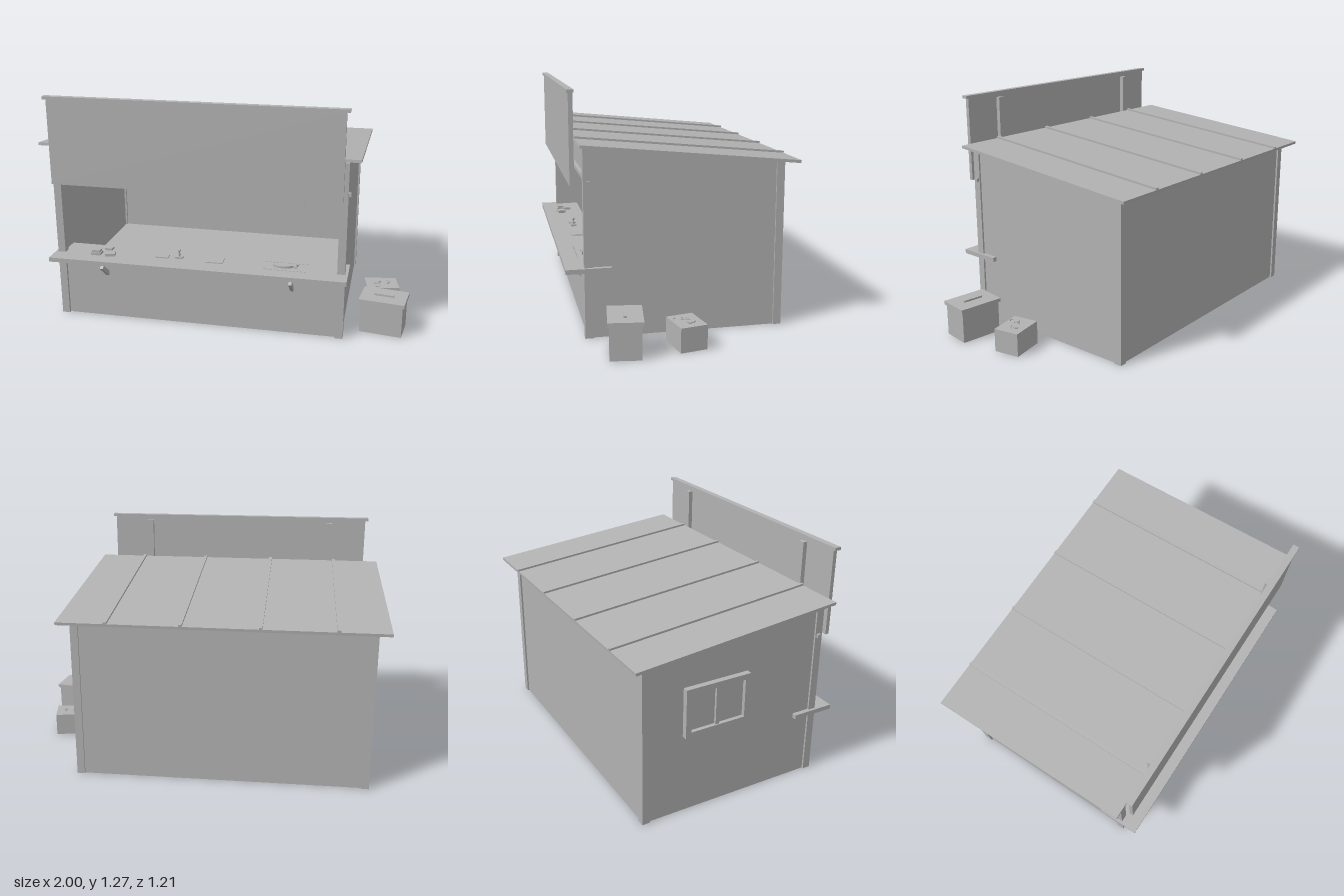
import * as THREE from 'three';

const grey = new THREE.MeshStandardMaterial({ color: 0xb2b2b2 });
grey.name = 'plain grey';

// Adds a mesh to a parent under a part name
function add(parent, name, geometry, x = 0, y = 0, z = 0) {
  const mesh = new THREE.Mesh(geometry, grey);
  mesh.name = name;
  mesh.position.set(x, y, z);
  parent.add(mesh);
  return mesh;
}

// Box given by its minimum and maximum on each axis
function span(parent, name, x0, x1, y0, y1, z0, z1) {
  const geometry = new THREE.BoxGeometry(x1 - x0, y1 - y0, z1 - z0);
  return add(parent, name, geometry, (x0 + x1) / 2, (y0 + y1) / 2, (z0 + z1) / 2);
}

function box(parent, name, w, h, d, x, y, z) {
  return add(parent, name, new THREE.BoxGeometry(w, h, d), x, y, z);
}

function group(parent, name, x = 0, y = 0, z = 0, turn = 0) {
  const g = new THREE.Group();
  g.name = name;
  g.position.set(x, y, z);
  g.rotation.y = turn;
  parent.add(g);
  return g;
}

function buildHut(root) {
  const hut = group(root, 'hut');
  span(hut, 'floor', -0.92, 0.64, 0, 0.17, -0.52, 0.48);
  span(hut, 'backWall', -0.92, 0.64, 0, 0.88, -0.53, -0.51);
  span(hut, 'frontWall', -0.92, 0.64, 0, 0.35, 0.47, 0.495);
  span(hut, 'header', -0.92, 0.64, 0.84, 0.97, 0.465, 0.49);
  span(hut, 'awningRail', -0.953, 0.673, 0.798, 0.818, 0.475, 0.495);

  // Side walls with a sloping top; the profile runs along -z
  const side = new THREE.Shape([[-0.49, 0], [0.52, 0], [0.52, 0.88], [-0.49, 0.977]]
    .map(([a, b]) => new THREE.Vector2(a, b)));
  const sideGeometry = new THREE.ExtrudeGeometry(side, { depth: 0.02, bevelEnabled: false });
  sideGeometry.rotateY(Math.PI / 2);
  for (const x of [-0.93, 0.63]) add(hut, 'sideWall', sideGeometry, x);

  // Corner posts
  for (const x of [-0.94, 0.618]) {
    span(hut, 'frontPost', x, x + 0.042, 0, 0.98, 0.468, 0.51);
    span(hut, 'backPost', x, x + 0.042, 0, 0.884, -0.54, -0.498);
  }

  // Panels and pegs on the inside of the back wall
  span(hut, 'pegPanel', -0.73, 0.12, 0.43, 0.84, -0.511, -0.5);
  span(hut, 'noticePanel', 0.19, 0.54, 0.69, 0.84, -0.511, -0.5);
  for (const x of [-0.62, -0.415, -0.205, 0.002]) {
    for (const y of [0.605, 0.762]) box(hut, 'peg', 0.01, 0.01, 0.03, x, y, -0.485);
  }
  for (const x of [0.278, 0.312, 0.535]) {
    box(hut, 'cord', 0.008, 0.08, 0.008, x, 0.425, -0.505).rotation.z = -0.12;
  }
}

function buildRoof(root) {
  const roof = group(root, 'roof', -0.14, 0.943, -0.0375);
  roof.rotation.x = -0.0966;
  box(roof, 'roofSheet', 1.72, 0.015, 1.139, 0, 0, 0);
  for (const x of [-0.735, -0.345, 0.065, 0.455]) {
    box(roof, 'roofRib', 0.018, 0.012, 1.139, x + 0.14, 0.012, 0);
  }
}

function buildSign(root) {
  const sign = group(root, 'signBoard');
  span(sign, 'board', -0.92, 0.64, 0.79, 1.252, 0.552, 0.573);
  span(sign, 'boardCap', -0.937, 0.657, 1.252, 1.268, 0.546, 0.581);
  for (const x of [-0.7, 0.417]) span(sign, 'boardStrut', x - 0.018, x + 0.018, 0.82, 1.235, 0.528, 0.552);
}

// Two-pane window on the model's right side
function buildWindow(root) {
  const win = group(root, 'sideWindow');
  const [z0, z1, y0, y1, t] = [-0.31, 0.06, 0.44, 0.71, 0.03];
  span(win, 'sill', -0.96, -0.93, y0, y0 + t, z0, z1);
  span(win, 'lintel', -0.96, -0.93, y1 - t, y1, z0, z1);
  for (const z of [z0, z1 - t]) span(win, 'jamb', -0.96, -0.93, y0 + t, y1 - t, z, z + t);
  span(win, 'mullion', -0.953, -0.93, y0 + t, y1 - t, -0.135, -0.115);
  span(win, 'pane', -0.939, -0.93, y0 + t, y1 - t, z0 + t, z1 - t);
}

function buildCounter(root) {
  const counter = group(root, 'counter');
  span(counter, 'counterTop', -0.955, 0.675, 0.35, 0.374, 0.37, 0.605);
  for (const x of [-0.66, 0.38]) {
    box(counter, 'bracket', 0.018, 0.022, 0.115, x, 0.294, 0.535).rotation.x = -0.7;
  }

  // Goods laid out on the top
  const goods = group(counter, 'goods', 0, 0.374, 0);
  box(goods, 'packet', 0.055, 0.016, 0.045, -0.715, 0.008, 0.5);
  box(goods, 'packetLid', 0.045, 0.012, 0.035, -0.715, 0.022, 0.5);
  box(goods, 'packet', 0.055, 0.016, 0.045, -0.635, 0.008, 0.505).rotation.y = 0.2;
  box(goods, 'packetLid', 0.04, 0.012, 0.035, -0.655, 0.022, 0.46);
  box(goods, 'card', 0.07, 0.006, 0.045, -0.345, 0.003, 0.465);
  box(goods, 'reelBase', 0.04, 0.01, 0.03, -0.25, 0.005, 0.465);
  add(goods, 'reelStem', new THREE.CylinderGeometry(0.005, 0.005, 0.03, 8), -0.25, 0.024, 0.465);
  add(goods, 'reelKnob', new THREE.SphereGeometry(0.009, 8, 6), -0.25, 0.044, 0.465);
  box(goods, 'paper', 0.095, 0.005, 0.07, -0.05, 0.0025, 0.465);

  // Flat fish: a lens-shaped body with a forked tail
  const fish = new THREE.Shape();
  fish.moveTo(-0.065, 0);
  fish.quadraticCurveTo(-0.01, 0.045, 0.045, 0.004);
  fish.lineTo(0.07, 0.02);
  fish.lineTo(0.062, 0);
  fish.lineTo(0.07, -0.02);
  fish.lineTo(0.045, -0.004);
  fish.quadraticCurveTo(-0.01, -0.045, -0.065, 0);
  const fishGeometry = new THREE.ExtrudeGeometry(fish, { depth: 0.012, bevelEnabled: false, curveSegments: 8 });
  fishGeometry.rotateX(-Math.PI / 2);
  add(goods, 'fish', fishGeometry, 0.335, 0, 0.47);

  // Broken edging of small stitches around the fish
  for (let i = 0; i < 12; i++) {
    for (const z of [0.42, 0.52]) box(goods, 'stitch', 0.01, 0.003, 0.004, 0.23 + i * 0.02, 0.0015, z);
  }
}

function buildCrates(root) {
  const chest = group(root, 'chest', 0.865, 0, 0.34, -0.142);
  box(chest, 'chestBody', 0.228, 0.175, 0.158, 0, 0.0875, 0);
  box(chest, 'chestLid', 0.247, 0.02, 0.177, 0, 0.185, 0);
  box(chest, 'chestHandle', 0.11, 0.01, 0.018, 0, 0.2, 0);

  const crate = group(root, 'crate', 0.843, 0, 0.025, 0.19);
  box(crate, 'crateBody', 0.183, 0.128, 0.144, 0, 0.064, 0);
  // Scattered curved scraps on the crate
  const scrap = new THREE.TorusGeometry(0.014, 0.004, 5, 6, 2);
  scrap.rotateX(Math.PI / 2);
  [[-0.02, -0.02], [0.025, -0.02], [-0.035, 0.02], [-0.005, 0.015], [-0.03, 0.045], [0.03, -0.005]]
    .forEach(([x, z], i) => { add(crate, 'scrap', scrap, x, 0.132, z).rotation.y = i * 1.3; });
}

export function createModel() {
  const root = new THREE.Group();
  root.name = 'marketHut';
  buildHut(root);
  buildRoof(root);
  buildSign(root);
  buildWindow(root);
  buildCounter(root);
  buildCrates(root);
  return root;
}
